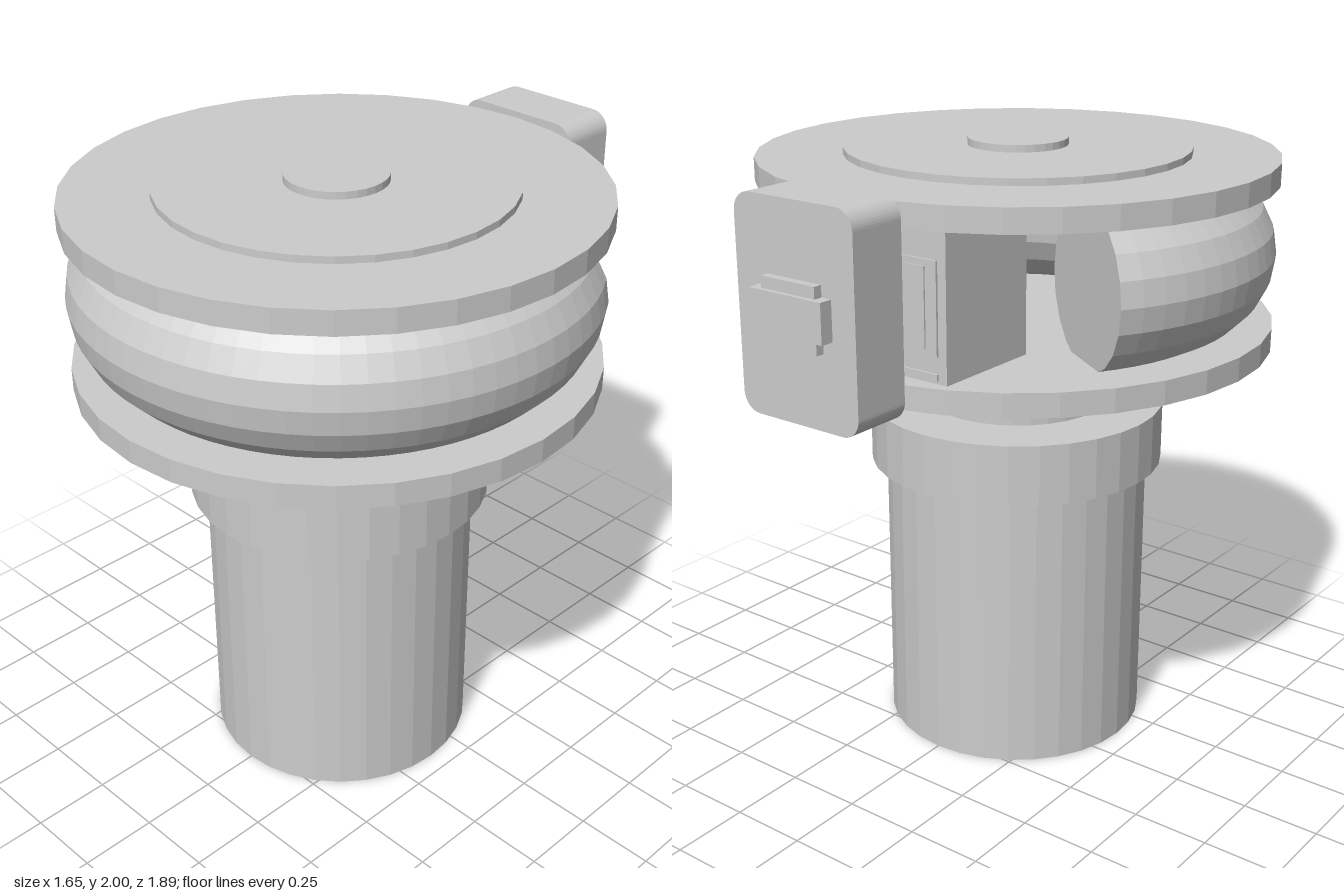
import * as THREE from 'three';

export function createModel() {
  const model = new THREE.Group();
  const mat = new THREE.MeshStandardMaterial({ color: 0xcccccc, flatShading: true });
  const AXIS_Z = 0.12; // the round parts share an axis slightly in front of the centre

  const add = (name, geometry, x = 0, y = 0, z = 0, material = mat) => {
    const mesh = new THREE.Mesh(geometry, material);
    mesh.name = name;
    mesh.position.set(x, y, z);
    model.add(mesh);
    return mesh;
  };
  const disc = (name, r, y0, y1) =>
    add(name, new THREE.CylinderGeometry(r, r, y1 - y0, 32), 0, (y0 + y1) / 2, AXIS_Z);
  const box = (name, halfX, y0, y1, z0, z1) =>
    add(name, new THREE.BoxGeometry(halfX * 2, y1 - y0, z1 - z0), 0, (y0 + y1) / 2, (z0 + z1) / 2);

  // Stacked round parts, from the ground up
  disc('body', 0.435, 0, 0.94);
  disc('collar', 0.485, 0.94, 1.14);
  disc('neck', 0.3, 1.14, 1.355);
  disc('lowerFlange', 0.825, 1.355, 1.43);
  disc('upperFlange', 0.825, 1.88, 1.955);
  disc('topPlate', 0.55, 1.955, 1.977);
  disc('topKnob', 0.16, 1.977, 2.0);

  // Ring between the flanges, open towards the back
  const ringR = 0.572, tubeR = 0.25, ringY = 1.655;
  const over = THREE.MathUtils.degToRad(33); // how far each end runs behind the axis
  const ring = new THREE.TorusGeometry(ringR, tubeR, 20, 48, Math.PI + 2 * over);
  ring.rotateZ(-over).rotateX(Math.PI / 2);
  add('ring', ring, 0, ringY, AXIS_Z);

  // Flat ends of the ring
  const capMat = mat.clone();
  capMat.side = THREE.DoubleSide;
  for (const side of [-1, 1]) {
    const cap = add('ringEnd', new THREE.CircleGeometry(tubeR, 20),
      side * ringR * Math.cos(over), ringY, AXIS_Z - ringR * Math.sin(over), capMat);
    cap.rotation.y = side * over;
  }

  // Block in the opening, with thin plates on its back face
  box('innerBlock', 0.3, 1.43, 1.88, -0.615, -0.24);
  box('blockPlate', 0.27, 1.51, 1.79, -0.622, -0.615);
  box('blockPlateCentre', 0.23, 1.53, 1.77, -0.627, -0.622);
  box('blockStrip', 0.27, 1.44, 1.46, -0.622, -0.615);

  // Rear housing: a rounded rectangle extruded along z
  const w = 0.22, h = 0.322, r = 0.06;
  const outline = new THREE.Shape();
  outline.absarc(w - r, h - r, r, 0, Math.PI / 2);
  outline.absarc(-w + r, h - r, r, Math.PI / 2, Math.PI);
  outline.absarc(-w + r, -h + r, r, Math.PI, Math.PI * 1.5);
  outline.absarc(w - r, -h + r, r, Math.PI * 1.5, Math.PI * 2);
  add('rearHousing',
    new THREE.ExtrudeGeometry(outline, { depth: 0.195, bevelEnabled: false, curveSegments: 6 }),
    0, 1.653, -0.9);

  // Latch on the housing
  box('latchPlate', 0.1, 1.56, 1.755, -0.928, -0.9);
  box('latchBar', 0.135, 1.6, 1.72, -0.943, -0.9);

  return model;
}
